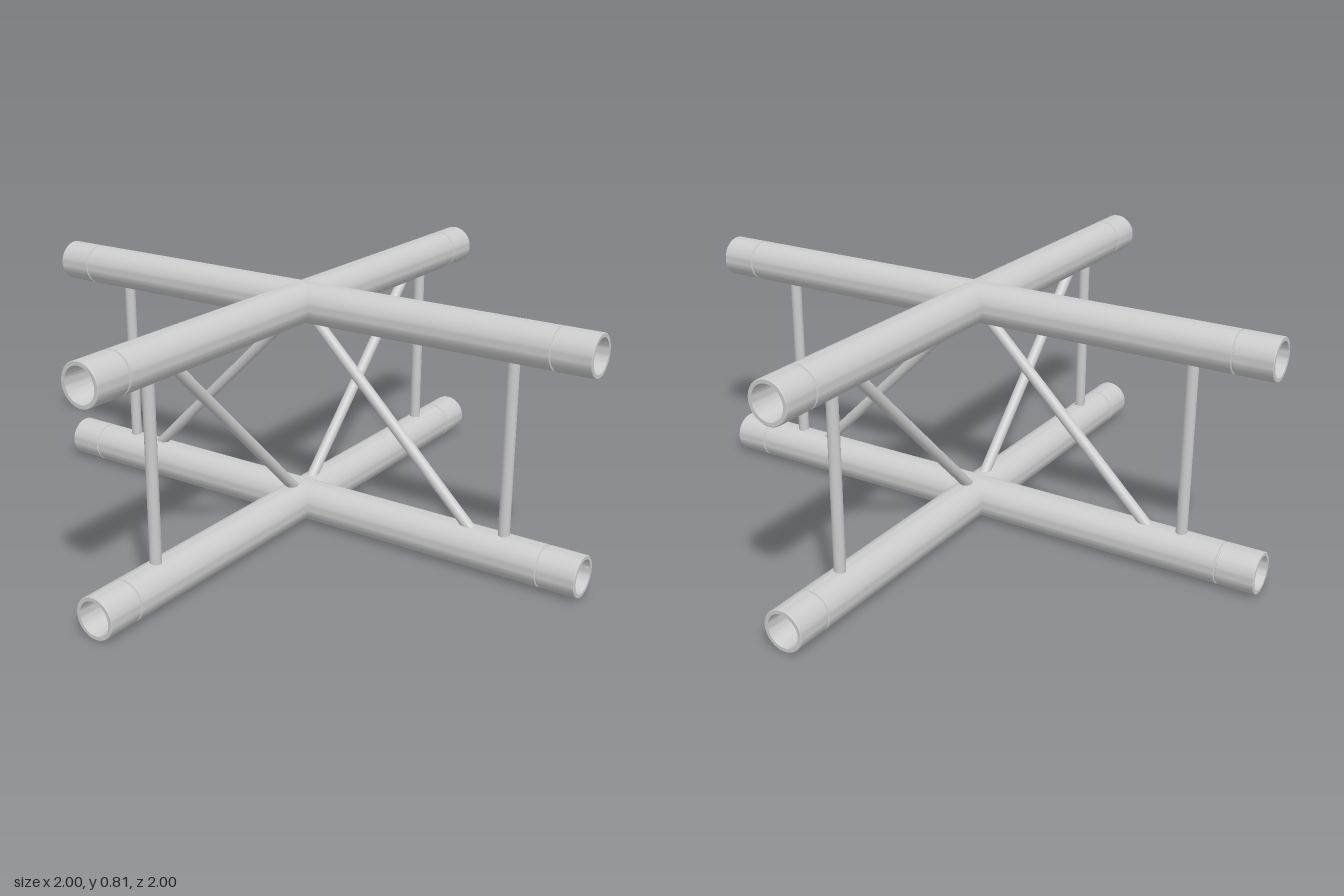
import * as THREE from 'three';
import { toCreasedNormals } from 'three/addons/utils/BufferGeometryUtils.js';

const R = 0.066;          // chord radius
const LOW = 0.067;        // chord centre heights
const HIGH = 0.745;
const BRACE_R = 0.018;

const material = new THREE.MeshStandardMaterial({ color: 0xcccccc });

// Half chord along +x: mitred at the centre, weld groove and conical socket at the end
function chordGeometry() {
  const profile = [
    [R, 0], [R, 0.874], [R - 0.005, 0.876], [R - 0.005, 0.88], [R, 0.882],
    [R, 0.998], [R - 0.002, 1], [0.053, 1], [0.045, 0.88], [0, 0.88],
  ].map(([r, y]) => new THREE.Vector2(r, y));
  const geometry = new THREE.LatheGeometry(profile, 48);
  geometry.rotateZ(-Math.PI / 2);
  // Mitre: the inner end follows the 45 degree planes between neighbouring arms
  const p = geometry.attributes.position;
  for (let i = 0; i < p.count; i++) {
    if (p.getX(i) < 0.01) p.setX(i, Math.abs(p.getZ(i)));
  }
  return toCreasedNormals(geometry, 0.5);
}

// Round brace between two points in the local x-y plane of an arm
function brace(name, x0, y0, x1, y1) {
  const a = new THREE.Vector3(x0, y0, 0);
  const b = new THREE.Vector3(x1, y1, 0);
  const dir = b.clone().sub(a);
  const mesh = new THREE.Mesh(new THREE.CylinderGeometry(BRACE_R, BRACE_R, dir.length(), 24), material);
  mesh.position.copy(a).add(b).multiplyScalar(0.5);
  mesh.quaternion.setFromUnitVectors(new THREE.Vector3(0, 1, 0), dir.normalize());
  mesh.name = name;
  return mesh;
}

export function createModel() {
  const model = new THREE.Group();
  model.name = 'trussCross';
  const chord = chordGeometry();
  const names = ['leftArm', 'backArm', 'rightArm', 'frontArm'];

  names.forEach((name, i) => {
    const arm = new THREE.Group();
    arm.name = name;
    for (const [part, y] of [['lowerChord', LOW], ['upperChord', HIGH]]) {
      const mesh = new THREE.Mesh(chord, material);
      mesh.name = part;
      mesh.position.y = y;
      arm.add(mesh);
    }
    arm.add(brace('endPost', 0.74, LOW + 0.05, 0.74, HIGH - 0.05));
    // Diagonals fall outward on the side arms and rise outward on the front and back arms
    const [inner, outer] = i % 2 === 0 ? [HIGH - 0.045, LOW + 0.045] : [LOW + 0.045, HIGH - 0.045];
    arm.add(brace('diagonal', 0.04, inner, 0.635, outer));
    arm.rotation.y = i * Math.PI / 2;
    model.add(arm);
  });
  return model;
}
